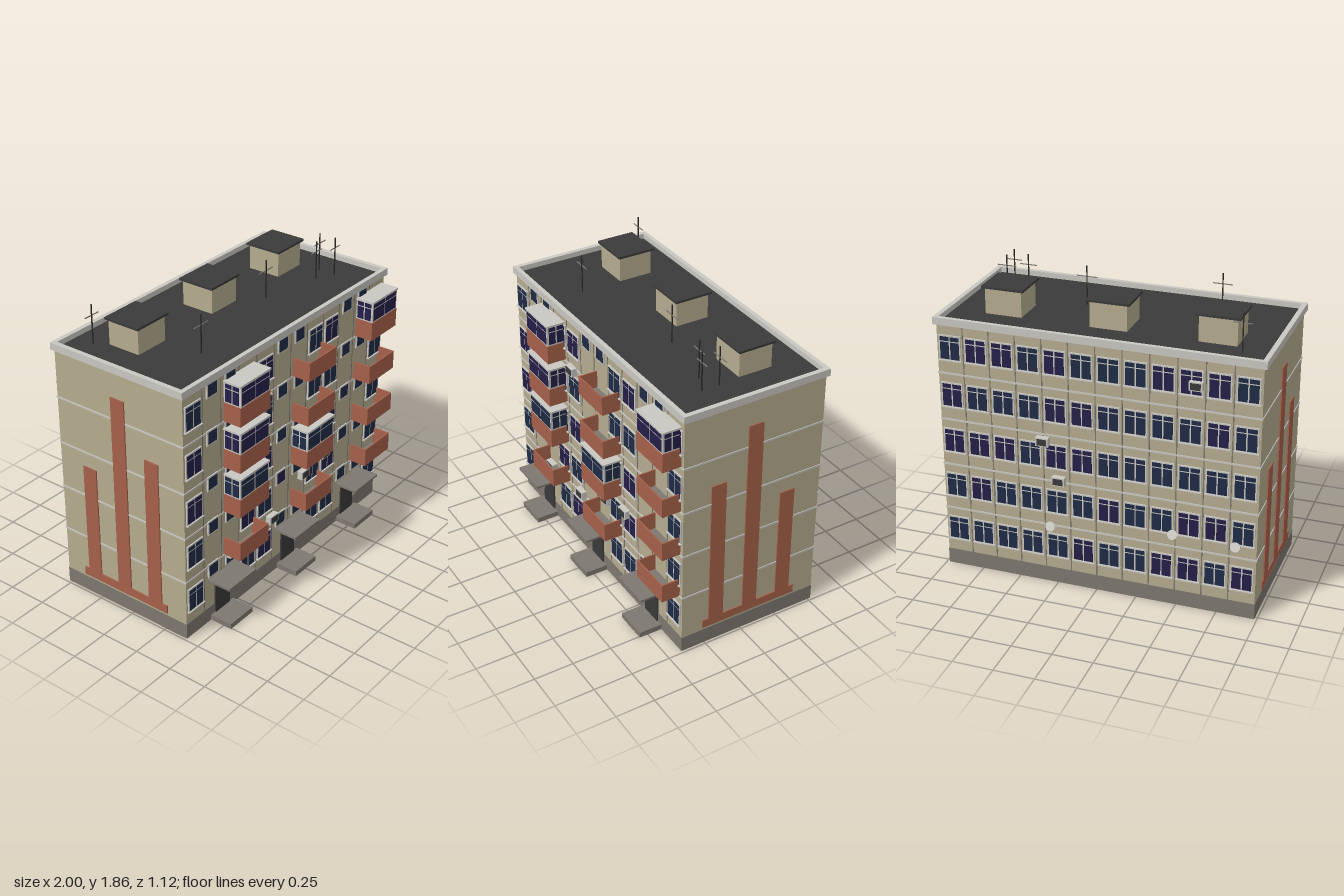
import * as THREE from 'three';

const paint = (name, color) => {
  const m = new THREE.MeshStandardMaterial({ color });
  m.name = name;
  return m;
};

export function createModel() {
  const wall = paint('beige wall', 0xb5ab8f);
  const trim = paint('light trim', 0xc9c7c1);
  const concrete = paint('grey concrete', 0x7d7770);
  const dark = paint('dark roofing', 0x3a3a3a);
  const brick = paint('brick red', 0xa6614a);
  const blue = paint('blue glass', 0x1f2b45);
  const purple = paint('purple glass', 0x241f48);
  const metal = paint('antenna metal', 0x2a2a2a);

  const model = new THREE.Group();
  model.name = 'apartmentBlock';

  const X = 0.982, ZF = 0.405, ZB = -0.52;
  const ZC = (ZF + ZB) / 2, D = ZF - ZB;
  const PITCH = (2 * X) / 12;
  const colX = (i) => -X + PITCH * (i + 0.5);
  const floors = [0, 1, 2, 3, 4];

  // seeded random for the glass tints
  let seed = 7;
  const rand = () => (seed = (seed * 16807) % 2147483647) / 2147483647;

  function group(name, parent = model) {
    const g = new THREE.Group();
    g.name = name;
    parent.add(g);
    return g;
  }
  function box(name, mat, w, h, d, x, y, z, parent = model) {
    const m = new THREE.Mesh(new THREE.BoxGeometry(w, h, d), mat);
    m.name = name;
    m.position.set(x, y, z);
    parent.add(m);
    return m;
  }

  // main body, plinth and roof
  box('plinth', concrete, 2 * X + 0.004, 0.1, D + 0.004, 0, 0.05, ZC);
  box('walls', wall, 2 * X, 1.5, D, 0, 0.85, ZC);
  box('roof', dark, 2 * X - 0.02, 0.012, D - 0.02, 0, 1.606, ZC);

  // parapet ring
  const parapet = group('parapet');
  for (const s of [-1, 1]) {
    box('parapetLong', trim, 2, 0.045, 0.028, 0, 1.6225, ZC + s * (D / 2), parapet);
    box('parapetShort', trim, 0.03, 0.045, D - 0.028, s * 0.985, 1.6225, ZC, parapet);
  }

  // floor bands around the block and vertical panel joints
  for (let k = 1; k < 5; k++) {
    box('floorBand', trim, 2 * X + 0.008, 0.011, D + 0.008, 0, 0.095 + 0.3 * k, ZC);
  }
  const joints = group('panelJoints');
  for (let i = 1; i < 12; i++) {
    box('panelJoint', concrete, 0.007, 1.5, D + 0.004, -X + i * PITCH, 0.85, ZC, joints);
  }

  // a pane grid: frame plate with two sashes, optionally with a strip of fanlights
  function glazing(w, h, glass, { transom = true, sashes = 2 } = {}) {
    const g = new THREE.Group();
    g.name = 'window';
    box('windowFrame', trim, w, h, 0.008, 0, 0, 0.004, g);
    const b = 0.009;
    const pw = (w - b * (sashes + 1)) / sashes;
    const top = transom ? 0.026 : 0;
    const ph = h - 2 * b - (transom ? top + b * 0.8 : 0);
    for (let i = 0; i < sashes; i++) {
      const x = -w / 2 + b + pw / 2 + i * (pw + b);
      box('pane', glass, pw, ph, 0.004, x, -h / 2 + b + ph / 2, 0.008, g);
      if (transom) box('fanlight', glass, pw, top, 0.004, x, h / 2 - b - top / 2, 0.008, g);
    }
    return g;
  }
  function place(win, x, y, z, turn = 0, parent = model) {
    win.position.set(x, y, z);
    win.rotation.y = turn;
    parent.add(win);
  }
  function mainWindow(x, y, z, turn, glass, parent) {
    const win = glazing(0.138, 0.158, glass);
    box('sill', trim, 0.146, 0.007, 0.016, 0, -0.079, 0.008, win);
    place(win, x, y, z, turn, parent);
  }

  // front windows, tints listed from the ground floor up
  const front = group('frontWindows');
  const tints = { 0: 'bbppb', 3: 'bpbpb', 4: 'pbpbp', 7: 'bbbbb', 8: 'bppbp', 11: 'bbbbp' };
  for (const [col, row] of Object.entries(tints)) {
    floors.forEach((f) =>
      mainWindow(colX(+col), 0.26 + 0.3 * f, ZF, 0, row[f] === 'p' ? purple : blue, front));
  }
  for (const col of [1, 2, 5, 6, 9, 10]) {
    floors.forEach((f) => place(
      glazing(0.094, 0.092, col === 5 && f === 1 ? purple : blue, { transom: false, sashes: 1 }),
      colX(col), 0.363 + 0.298 * f, ZF, 0, front));
  }

  // back windows
  const back = group('backWindows');
  for (const f of floors) {
    for (let c = 0; c < 12; c++) {
      mainWindow(colX(c), 0.26 + 0.3 * f, ZB, Math.PI, rand() < 0.4 ? purple : blue, back);
    }
  }

  // balconies, some of them glazed in
  const BW = 0.274, BD = 0.12, T = 0.008;
  function balcony(x, y, glass) {
    const g = group('balcony');
    g.position.set(x, y, ZF);
    box('balconyFloor', concrete, BW - 0.004, 0.012, BD - 0.004, 0, 0.006, BD / 2, g);
    box('balconyFront', brick, BW, 0.12, T, 0, 0.06, BD - T / 2, g);
    for (const s of [-1, 1]) {
      box('balconySide', brick, T, 0.12, BD - T, s * (BW / 2 - T / 2), 0.06, (BD - T) / 2, g);
    }
    if (!glass) return;
    place(glazing(BW - 0.008, 0.13, glass), 0, 0.185, BD - 0.01, 0, g);
    for (const s of [-1, 1]) {
      place(glazing(BD - 0.006, 0.13, glass), s * (BW / 2 - 0.012), 0.185, BD / 2 - 0.003, s * Math.PI / 2, g);
    }
    box('balconyRoof', trim, BW + 0.006, 0.012, BD + 0.004, 0, 0.252, BD / 2, g);
  }
  const stacks = [
    [-0.493, [null, blue, purple, purple]],
    [0.163, [null, blue, null, null]],
    [0.818, [null, null, null, purple]],
  ];
  for (const [x, list] of stacks) list.forEach((glass, i) => balcony(x, 0.4 + 0.3 * i, glass));

  // entrances with step and canopy, and a stair head on the roof above each
  for (const x of [-0.653, 0, 0.653]) {
    const e = group('entrance');
    e.position.x = x;
    box('door', dark, 0.136, 0.235, 0.012, 0, 0.155, ZF + 0.004, e);
    box('step', concrete, 0.21, 0.035, 0.15, 0, 0.0175, ZF + 0.075, e);
    box('canopy', concrete, 0.256, 0.014, 0.156, 0, 0.295, ZF + 0.078, e);
    const h = group('stairHead');
    h.position.set(x, 0, -0.19);
    box('stairHeadWalls', wall, 0.228, 0.165, 0.216, 0, 1.69, 0, h);
    box('stairHeadCap', dark, 0.264, 0.014, 0.244, 0, 1.778, 0, h);
  }

  // painted bars on both end walls
  for (const s of [-1, 1]) {
    const g = group('endWallBars');
    const x = s * (X + 0.004);
    box('baseBar', brick, 0.008, 0.054, 0.643, x, 0.145, -0.056, g);
    for (const [z, top] of [[0.176, 1.118], [-0.059, 1.436], [-0.294, 0.9]]) {
      box('uprightBar', brick, 0.008, top - 0.17, 0.098, x, (top + 0.17) / 2, z, g);
    }
  }

  // air conditioners
  function airConditioner(x, y, z, turn) {
    const g = group('airConditioner');
    g.position.set(x, y, z);
    g.rotation.y = turn;
    box('casing', trim, 0.08, 0.054, 0.036, 0, 0, 0.018, g);
    box('grille', dark, 0.06, 0.04, 0.004, 0, 0, 0.037, g);
  }
  for (const [x, y] of [[-0.476, 1.28], [-0.257, 1.28], [0.139, 0.58], [0.36, 0.62], [-0.182, 0.42], [-0.573, 0.397]]) {
    airConditioner(x, y, ZF, 0);
  }
  for (const [x, y] of [[-0.605, 1.45], [0.325, 0.955], [0.228, 0.71]]) {
    airConditioner(x, y, ZB, Math.PI);
  }

  // satellite dishes on the back wall
  for (const [x, y] of [[0.287, 0.395], [-0.48, 0.485], [-0.86, 0.475]]) {
    const g = group('satelliteDish');
    g.position.set(x, y, ZB - 0.024);
    const dish = new THREE.Mesh(new THREE.CylinderGeometry(0.03, 0.024, 0.006, 16), trim);
    dish.name = 'dish';
    dish.rotation.x = -Math.PI / 2 + 0.4;
    g.add(dish);
    box('dishArm', metal, 0.006, 0.006, 0.026, 0, 0, 0.012, g);
  }

  // roof antennas
  for (const [x, z, w] of [[-0.817, -0.377, 0.11], [-0.54, 0.18, 0.12], [0.255, 0.035, 0.13],
    [0.663, 0.113, 0.11], [0.78, 0.056, 0.12], [0.78, 0.17, 0.1]]) {
    const g = group('antenna');
    g.position.set(x, 0, z);
    box('mast', metal, 0.006, 0.25, 0.006, 0, 1.732, 0, g);
    box('crossbar', concrete, w, 0.005, 0.005, 0, 1.79, 0, g);
  }
  return model;
}
